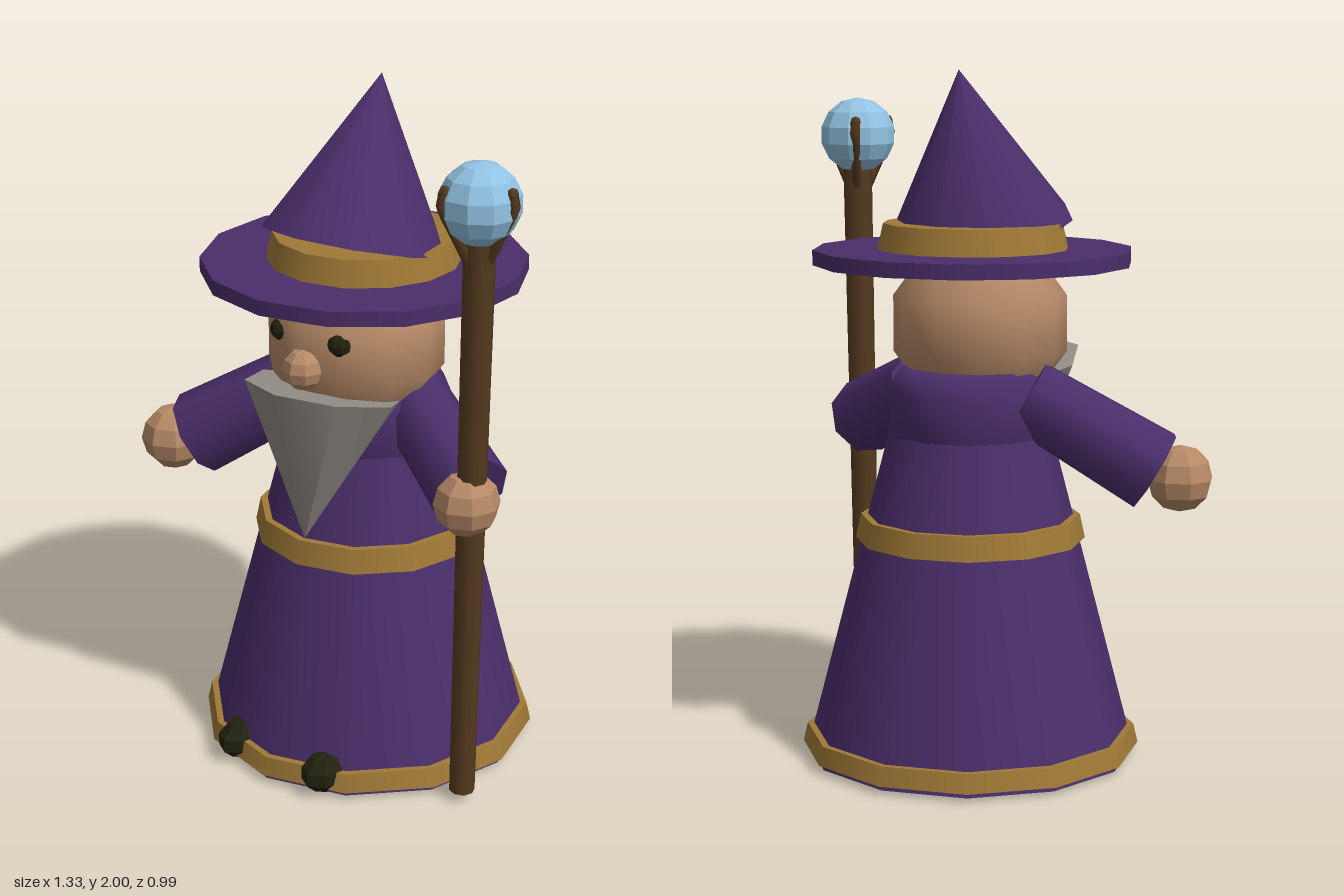
import * as THREE from 'three';

const mat = (name, color) => {
  const m = new THREE.MeshStandardMaterial({ color });
  m.name = name;
  return m;
};

export function createModel() {
  const purple = mat('purple cloth', 0x4a2e6a);
  const gold = mat('gold trim', 0x9f7936);
  const skin = mat('skin', 0xb68a67);
  const grey = mat('grey beard', 0x948e87);
  const wood = mat('staff wood', 0x553a1f);
  const blue = mat('blue crystal', 0x92c3e3);
  const dark = mat('dark leather', 0x20210f);

  const model = new THREE.Group();
  const V = (x, y, z) => new THREE.Vector3(x, y, z);

  const add = (name, geometry, material, x = 0, y = 0, z = 0) => {
    const mesh = new THREE.Mesh(geometry, material);
    mesh.name = name;
    mesh.position.set(x, y, z);
    model.add(mesh);
    return mesh;
  };
  // Faceted low-poly ball
  const ball = (r, w = 8, h = 6) => {
    const g = new THREE.SphereGeometry(r, w, h).toNonIndexed();
    g.computeVertexNormals();
    return g;
  };
  // Ring-like frustum given by its bottom and top heights
  const band = (name, rTop, rBottom, y0, y1, material, sides = 12, z = 0) =>
    add(name, new THREE.CylinderGeometry(rTop, rBottom, y1 - y0, sides), material, 0.005, (y0 + y1) / 2, z);
  // Tapered cylinder between two points
  const limb = (name, a, b, rA, rB, sides, material) => {
    const d = b.clone().sub(a);
    const mesh = add(name, new THREE.CylinderGeometry(rB, rA, d.length(), sides), material);
    mesh.position.copy(a).addScaledVector(d, 0.5);
    mesh.quaternion.setFromUnitVectors(V(0, 1, 0), d.normalize());
    return mesh;
  };

  // Robe with hem and belt
  band('robe', 0.2, 0.482, 0.01, 1.1, purple);
  band('hem', 0.483, 0.496, 0.025, 0.08, gold);
  band('belt', 0.32, 0.335, 0.645, 0.715, gold);

  // Rounded shoulder yoke
  const yoke = [[0, 0.9], [0.2, 0.91], [0.238, 0.96], [0.238, 1.09], [0.2, 1.15], [0, 1.15]];
  add('shoulders', new THREE.LatheGeometry(yoke.map(p => new THREE.Vector2(...p)), 12), purple, 0.005, 0, 0);

  // Sleeves and hands
  limb('rightSleeve', V(-0.18, 1.08, 0.01), V(-0.505, 0.865, 0.175), 0.11, 0.126, 8, purple);
  limb('leftSleeve', V(0.17, 1.08, 0.0), V(0.475, 0.94, 0.15), 0.105, 0.115, 8, purple);
  add('rightHand', ball(0.097), skin, -0.575, 0.845, 0.2);
  add('leftHand', ball(0.094), skin, 0.505, 0.935, 0.21);

  // Head and face
  add('head', new THREE.SphereGeometry(0.265, 12, 5), skin, 0.005, 1.27, 0.055);
  add('nose', ball(0.06), skin, 0.01, 1.235, 0.3);
  for (const s of [-1, 1]) {
    add(s < 0 ? 'rightEye' : 'leftEye', ball(0.036), dark, 0.008 + s * 0.102, 1.32, 0.262);
    const foot = add(s < 0 ? 'rightFoot' : 'leftFoot', ball(1, 8, 5), dark, 0.008 + s * 0.157, 0.062, 0.4);
    foot.scale.set(0.065, 0.062, 0.095);
  }

  // Beard: an upside-down cone, tip leaning forward
  const beard = add('beard', new THREE.ConeGeometry(0.23, 0.44, 8), grey, 0.008, 0.93, 0.25);
  beard.rotation.x = Math.PI - 0.229;

  // Hat: brim, band and backward-leaning point
  band('hatBrim', 0.463, 0.463, 1.447, 1.49, purple, 14, 0.024).position.x = 0.01;
  band('hatBand', 0.26, 0.277, 1.49, 1.565, gold, 14, 0.024).position.x = 0.01;
  const point = add('hatPoint', new THREE.ConeGeometry(0.27, 0.467, 10), purple, 0.01, 1.775, 0.008);
  point.rotation.x = -0.27;

  // Staff, crystal and three claws
  limb('staff', V(0.507, 0.03, 0.21), V(0.532, 1.7, 0.21), 0.037, 0.044, 8, wood);
  add('crystal', ball(0.113, 10, 7), blue, 0.53, 1.793, 0.21);
  const clawPath = new THREE.CatmullRomCurve3(
    [V(0.03, 1.64, 0), V(0.055, 1.69, 0), V(0.08, 1.74, 0), V(0.108, 1.8, 0), V(0.1, 1.835, 0)]);
  const clawGeometry = new THREE.TubeGeometry(clawPath, 6, 0.016, 5);
  for (let i = 0; i < 3; i++) {
    const claw = add('claw' + (i + 1), clawGeometry, wood, 0.53, 0, 0.21);
    claw.rotation.y = i * Math.PI * 2 / 3;
    const tip = add('clawTip' + (i + 1), ball(0.018, 6, 4), wood, 0, 0, 0);
    tip.position.copy(V(0.1, 1.835, 0).applyEuler(claw.rotation)).add(claw.position);
  }

  return model;
}
